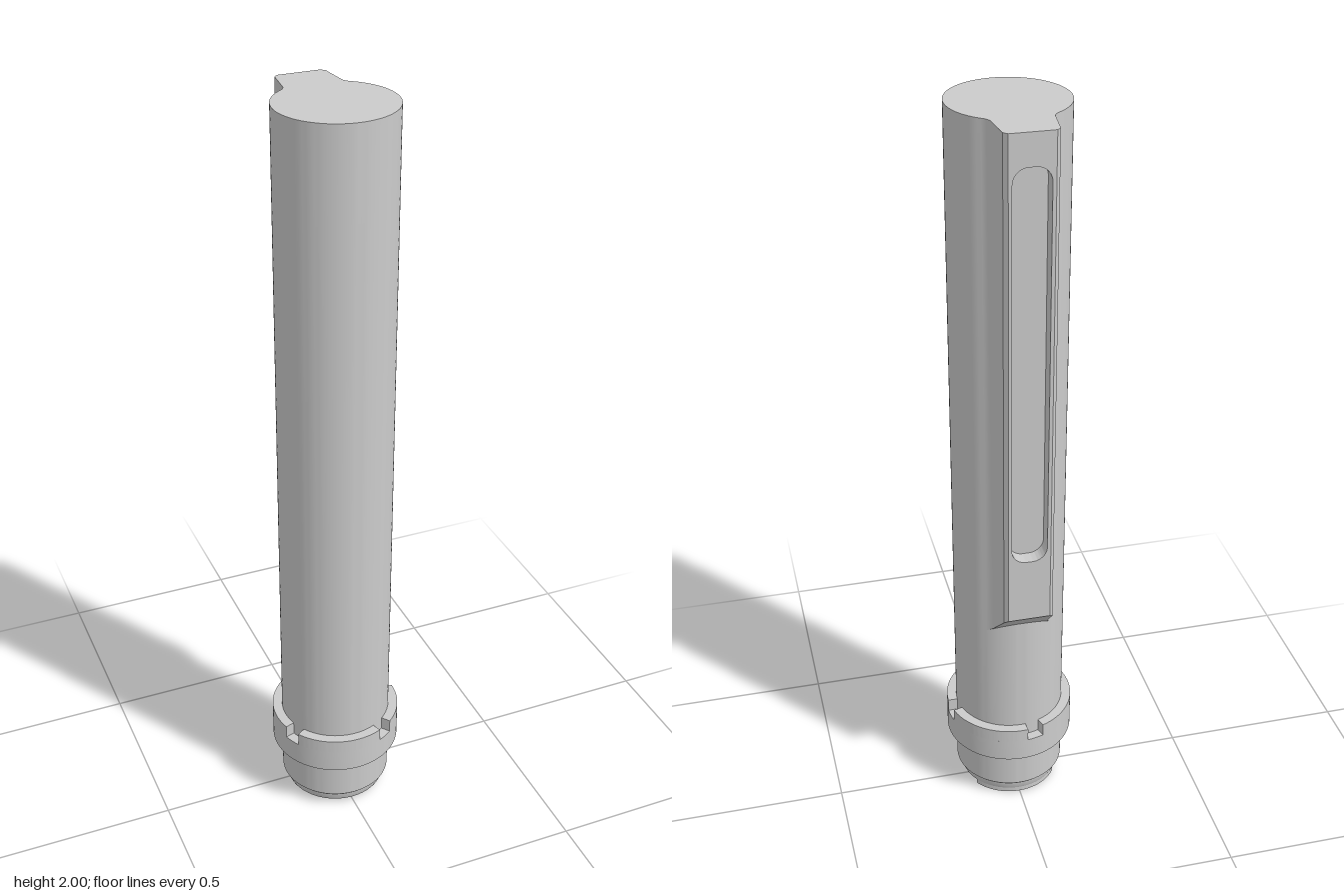
import * as THREE from 'three';
import { toCreasedNormals } from 'three/addons/utils/BufferGeometryUtils.js';

const AXIS_Z = 0.025; // the tube axis sits slightly forward of centre
const RAIL_FLOOR = -0.165; // depth of the slot floor in the rail
const material = new THREE.MeshStandardMaterial({ color: 0xcccccc });

function part(name, geometry, z = 0) {
  const mesh = new THREE.Mesh(toCreasedNormals(geometry, 0.4), material);
  mesh.name = name;
  mesh.position.z = z;
  return mesh;
}

const lathe = (points) =>
  new THREE.LatheGeometry(points.map(([r, y]) => new THREE.Vector2(r, y)), 96);

// Upright extrusion of a plan shape drawn in (x, -z)
function upright(shape, y0, y1) {
  const g = new THREE.ExtrudeGeometry(shape, { depth: y1 - y0, bevelEnabled: false, curveSegments: 32 });
  return g.rotateX(-Math.PI / 2).translate(0, y0, 0);
}

// Block following an arc, angles in degrees
function ringSector(rIn, rOut, from, to, y0, y1) {
  const a = THREE.MathUtils.degToRad(from), b = THREE.MathUtils.degToRad(to);
  const shape = new THREE.Shape();
  shape.absarc(0, 0, rOut, a, b, false);
  shape.absarc(0, 0, rIn, b, a, true);
  return upright(shape, y0, y1);
}

// Apply a rule to every vertex
function reshape(geometry, rule) {
  const p = geometry.attributes.position;
  const v = new THREE.Vector3();
  for (let i = 0; i < p.count; i++) {
    rule(v.fromBufferAttribute(p, i));
    p.setXYZ(i, v.x, v.y, v.z);
  }
  geometry.computeVertexNormals();
  return geometry;
}

// Sloped lower end of the rail
function slopeEnd(v) {
  if (v.y < 0.8) v.y = 0.6 + (-0.11 - v.z) * 0.95;
}

function railCore() {
  const half = [[0.09, 0.095], [0.08, 0.103], [0.074, 0.114], [0.068, -RAIL_FLOOR]];
  const mirrored = half.map(([x, y]) => [-x, y]).reverse();
  const outline = [...half, ...mirrored, [0, 0.11]].map(([x, y]) => new THREE.Vector2(x, y));
  return reshape(upright(new THREE.Shape(outline), 0.6, 2), slopeEnd);
}

// Outer layer of the rail, with the long slot and chamfered back edges
function railFace() {
  const w = 0.068, s = 0.046, r = 0.038, bottom = 0.87, top = 1.92;
  const shape = new THREE.Shape([[-w, 0.6], [w, 0.6], [w, 2], [-w, 2]].map(([x, y]) => new THREE.Vector2(x, y)));
  const slot = new THREE.Path();
  slot.absarc(s - r, top - r, r, 0, Math.PI / 2, false);
  slot.absarc(r - s, top - r, r, Math.PI / 2, Math.PI, false);
  slot.absarc(r - s, bottom + r, r, Math.PI, Math.PI * 1.5, false);
  slot.absarc(s - r, bottom + r, r, Math.PI * 1.5, Math.PI * 2, false);
  slot.closePath();
  shape.holes.push(slot);
  const g = new THREE.ExtrudeGeometry(shape, { depth: 0.04, steps: 4, bevelEnabled: false, curveSegments: 10 });
  g.translate(0, 0, RAIL_FLOOR - 0.04);
  return reshape(g, (v) => {
    if (Math.abs(v.x) > 0.05) {
      const width = v.z < -0.2 ? 0.055 : 0.065 + (v.z + 0.195) * 0.1;
      v.x = Math.sign(v.x) * width;
    }
    slopeEnd(v);
  });
}

export function createModel() {
  const group = new THREE.Group();

  // Hollow tube, open below and closed on top
  group.add(part('tube', lathe([
    [0, 1.9], [0.125, 1.9], [0.125, 0.015], [0.136, 0.015], [0.139, 0.022],
    [0.141, 0.036], [0.15, 0.046], [0.15, 2], [0, 2],
  ]), AXIS_Z));

  // Partial lip under the rear of the tube
  group.add(part('bottomLip', ringSector(0.125, 0.135, 34, 146, 0, 0.02), AXIS_Z));

  // Rail along the back
  group.add(part('railCore', railCore()));
  group.add(part('railFace', railFace()));

  // Locking collar with four notches in its upper edge
  const collar = new THREE.Group();
  collar.name = 'collar';
  collar.add(part('collarBase', lathe([
    [0.14, 0.16], [0.176, 0.16], [0.176, 0.225], [0.14, 0.225],
  ]), AXIS_Z));
  const notches = [-155, -60, 8, 102];
  notches.forEach((angle, i) => {
    const next = i < 3 ? notches[i + 1] : notches[0] + 360;
    collar.add(part('collarTooth', ringSector(0.14, 0.176, angle + 7.5, next - 7.5, 0.225, 0.262), AXIS_Z));
  });
  group.add(collar);

  return group;
}
